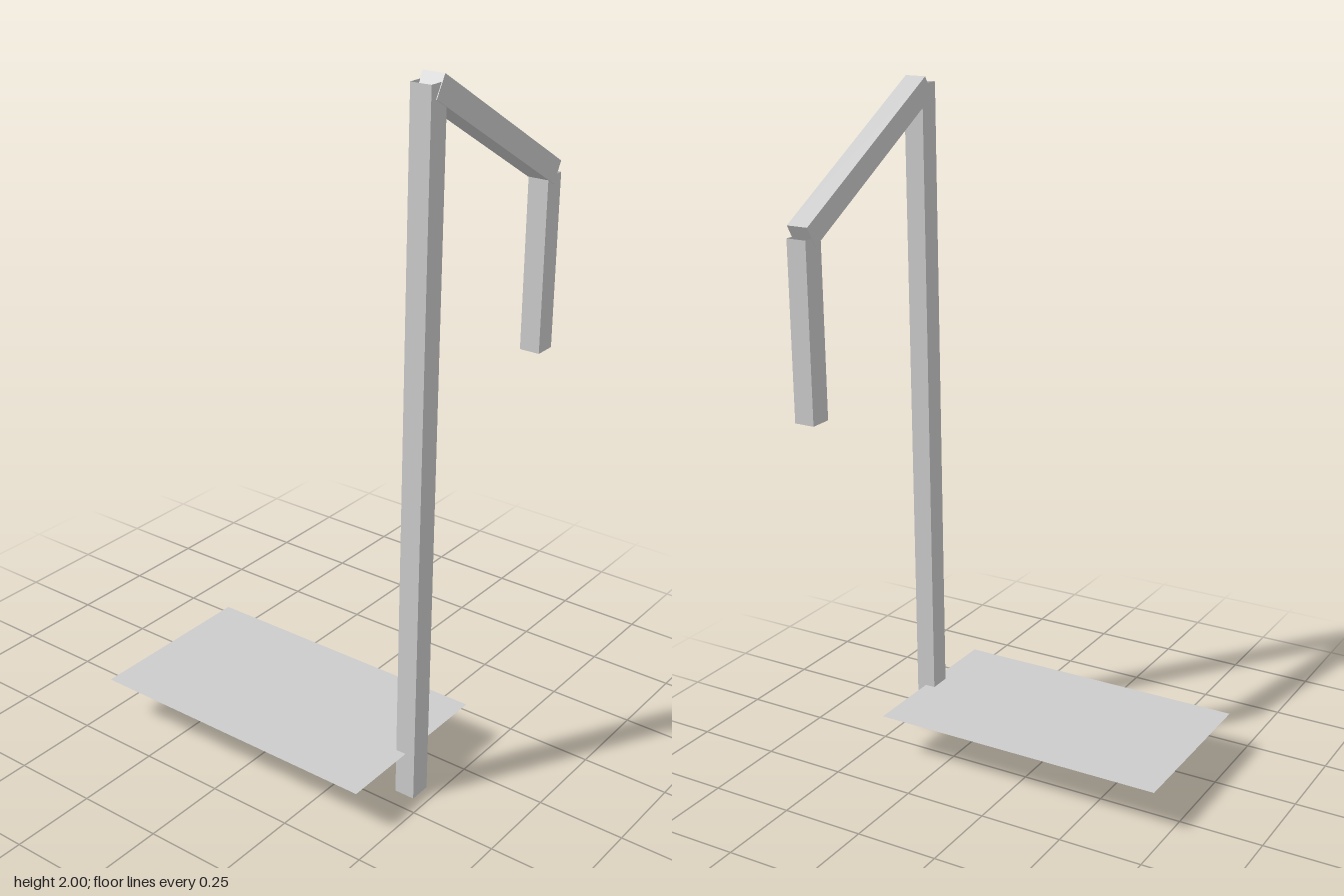
import * as THREE from 'three';

export function createModel() {
  const model = new THREE.Group();
  const grey = new THREE.MeshStandardMaterial({ color: 0xcccccc, side: THREE.DoubleSide });
  grey.name = 'light grey';

  const add = (name, geometry, x, y, z) => {
    const mesh = new THREE.Mesh(geometry, grey);
    mesh.name = name;
    mesh.position.set(x, y, z);
    model.add(mesh);
    return mesh;
  };

  // Square tube without end caps, standing upright
  const squareTube = (width, height, depth) => {
    const g = new THREE.CylinderGeometry(Math.SQRT1_2, Math.SQRT1_2, 1, 4, 1, true);
    g.rotateY(Math.PI / 4);
    g.scale(width, height, depth);
    const flat = g.toNonIndexed();
    flat.computeVertexNormals();
    return flat;
  };

  const postX = 0.433;

  // Upright post and the shorter post hanging from the arm
  add('mainPost', squareTube(0.06, 1.98, 0.065), postX, 0.99, 0.167);
  add('hangingPost', squareTube(0.06, 0.497, 0.065), postX, 1.393, -0.39);

  // Sloping arm joining the two posts
  const arm = add('slopingArm', new THREE.BoxGeometry(0.064, 0.065, 0.65), postX, 1.808, -0.118);
  arm.rotation.x = -Math.PI / 6;

  // Thin horizontal sheet crossing the post, with a small square tab on it
  const sheet = (width, depth) => new THREE.PlaneGeometry(width, depth).rotateX(-Math.PI / 2);
  add('groundSheet', sheet(0.9, 0.53), -0.016, 0.135, 0.161);
  add('smallTab', sheet(0.015, 0.018), 0.35, 0.143, 0.013);

  return model;
}
